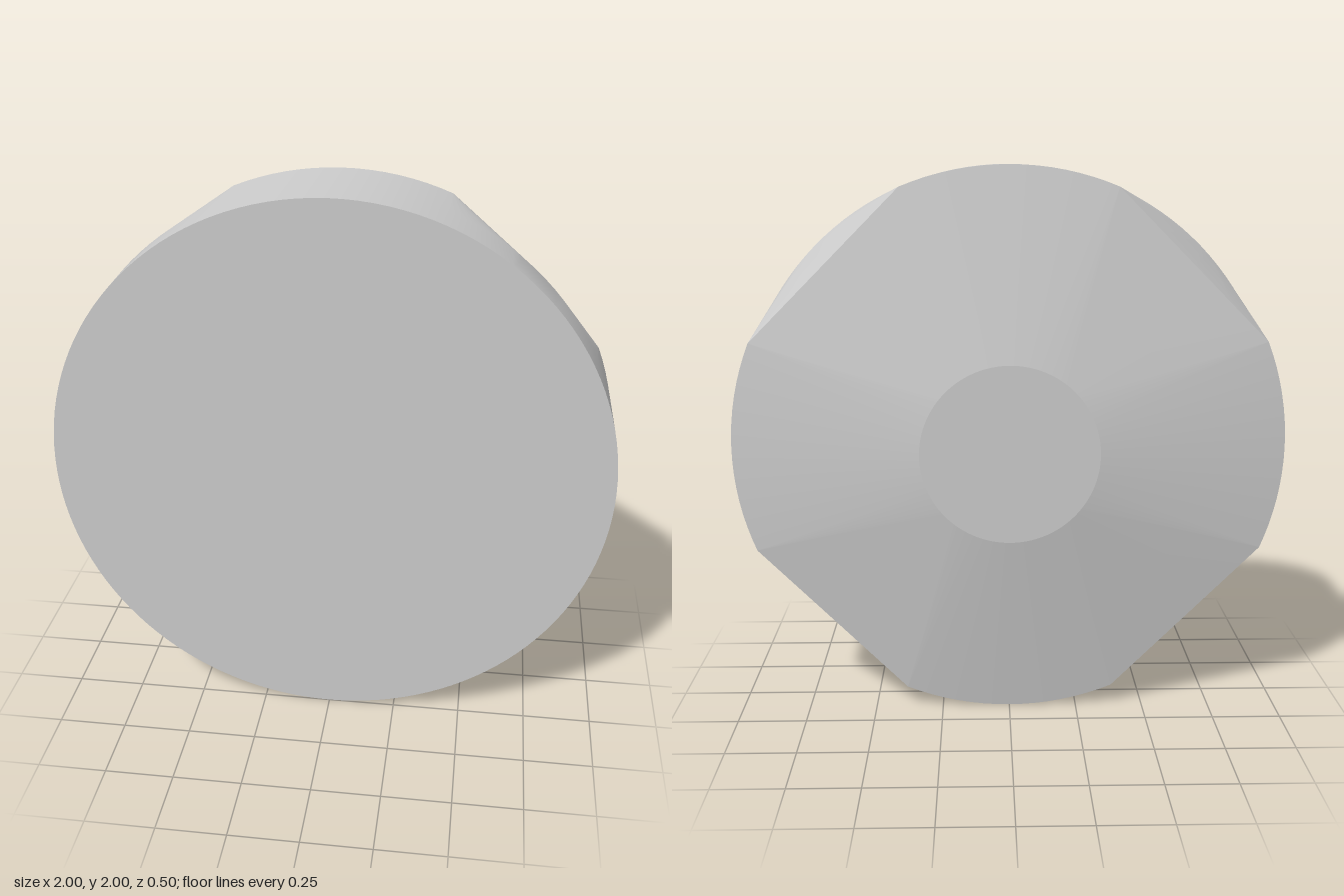
import * as THREE from 'three';

const SEGMENTS = 128;
const material = new THREE.MeshStandardMaterial({ color: 0xcccccc });

// Closed ring of points at depth z; place(angle) returns [x, y]
function ring(z, place) {
  return Array.from({ length: SEGMENTS }, (_, i) => {
    const [x, y] = place((i / SEGMENTS) * Math.PI * 2);
    return new THREE.Vector3(x, y, z);
  });
}

const circle = (radius) => (a) => [radius * Math.cos(a), radius * Math.sin(a)];

// Unit circle with four diagonal chords, each spanning 45 degrees.
// Points gather at the chord ends so the surfaces fan out from the corners.
function choppedCircle(a) {
  const quarter = Math.PI / 2;
  const start = Math.floor(a / quarter) * quarter + Math.PI / 8;
  const t = (a - start) / (Math.PI / 4);
  if (t <= 0 || t >= 1) return circle(1)(a);
  const s = THREE.MathUtils.clamp((t - 0.375) / 0.25, 0, 1);
  const p = circle(1)(start);
  const q = circle(1)(start + Math.PI / 4);
  return [p[0] + (q[0] - p[0]) * s, p[1] + (q[1] - p[1]) * s];
}

// Smooth skin through consecutive rings, ordered front to back
function loft(rings) {
  const points = rings.flat();
  const index = [];
  const addTriangle = (a, b, c) => {
    const area = new THREE.Triangle(points[a], points[b], points[c]).getArea();
    if (area > 1e-7) index.push(a, b, c);
  };
  for (let r = 0; r < rings.length - 1; r++) {
    for (let i = 0; i < SEGMENTS; i++) {
      const next = (i + 1) % SEGMENTS;
      const a = r * SEGMENTS + i;
      const b = r * SEGMENTS + next;
      addTriangle(a, a + SEGMENTS, b);
      addTriangle(b, a + SEGMENTS, b + SEGMENTS);
    }
  }
  const geometry = new THREE.BufferGeometry().setFromPoints(points);
  geometry.setIndex(index);
  geometry.computeVertexNormals();
  return geometry;
}

export function createModel() {
  const group = new THREE.Group();
  group.name = 'disc';

  const add = (name, geometry) => {
    const mesh = new THREE.Mesh(geometry, material);
    mesh.name = name;
    mesh.position.y = 1;
    group.add(mesh);
  };

  const outline = ring(-0.125, choppedCircle);

  // Round flat front
  add('frontFace', new THREE.CircleGeometry(1, SEGMENTS).translate(0, 0, 0.25));

  // Rim, round at the front and chopped at the back
  add('rim', loft([ring(0.25, circle(1)), ring(0.09, circle(1)), outline]));

  // Shallow taper up to the small flat back
  add('backTaper', loft([outline, ring(-0.25, circle(0.32))]));
  add('backFace', new THREE.CircleGeometry(0.32, SEGMENTS).rotateY(Math.PI).translate(0, 0, -0.25));

  return group;
}
